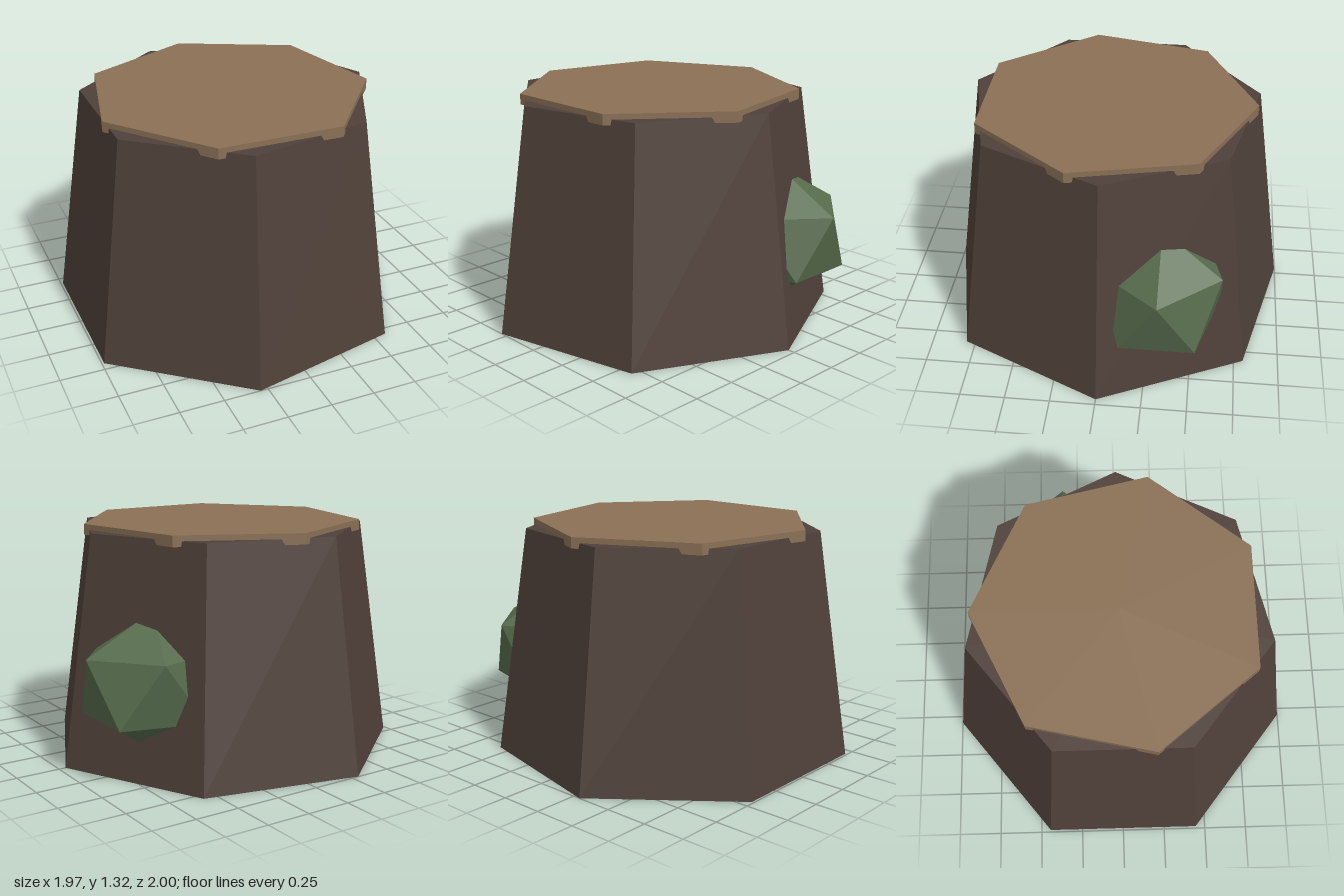
import * as THREE from 'three';
import { ConvexGeometry } from 'three/addons/geometries/ConvexGeometry.js';

const AXIS_X = -0.064; // the trunk axis sits slightly off centre

function addPart(group, name, geometry, color, x, y, z) {
  const material = new THREE.MeshStandardMaterial({ color, flatShading: true });
  const mesh = new THREE.Mesh(geometry, material);
  mesh.name = name;
  mesh.position.set(x, y, z);
  group.add(mesh);
}

// Twenty-sided lump: two poles and two staggered rings of five
function lumpGeometry(rx, ry, rz) {
  const points = [new THREE.Vector3(0, ry, 0), new THREE.Vector3(0, -ry, 0)];
  const level = 1 / Math.sqrt(5);
  const ring = 2 * level;
  for (let i = 0; i < 10; i++) {
    const a = (i * Math.PI) / 5;
    const y = i % 2 === 0 ? level : -level;
    points.push(new THREE.Vector3(Math.cos(a) * ring * rx, y * ry, Math.sin(a) * ring * rz));
  }
  return new ConvexGeometry(points);
}

export function createModel() {
  const group = new THREE.Group();
  group.name = 'treeStump';

  // Tapered seven-sided trunk with a corner towards +x
  const height = 1.285;
  const trunk = new THREE.CylinderGeometry(0.834, 1.025, height, 7, 1, false, Math.PI / 2);
  addPart(group, 'trunk', trunk, 0x4f4039, AXIS_X, height / 2, 0);

  // Thin cut-wood slab, turned so its corners overhang the trunk
  const slab = new THREE.CylinderGeometry(0.8, 0.8, 0.06, 7, 1, false, Math.PI);
  addPart(group, 'cutTop', slab, 0x8a7055, AXIS_X + 0.002, 1.285, 0);

  // Moss lump half sunk into the side
  addPart(group, 'moss', lumpGeometry(0.447, 0.386, 0.39), 0x566b4c, 0.58, 0.5125, -0.32);

  return group;
}
